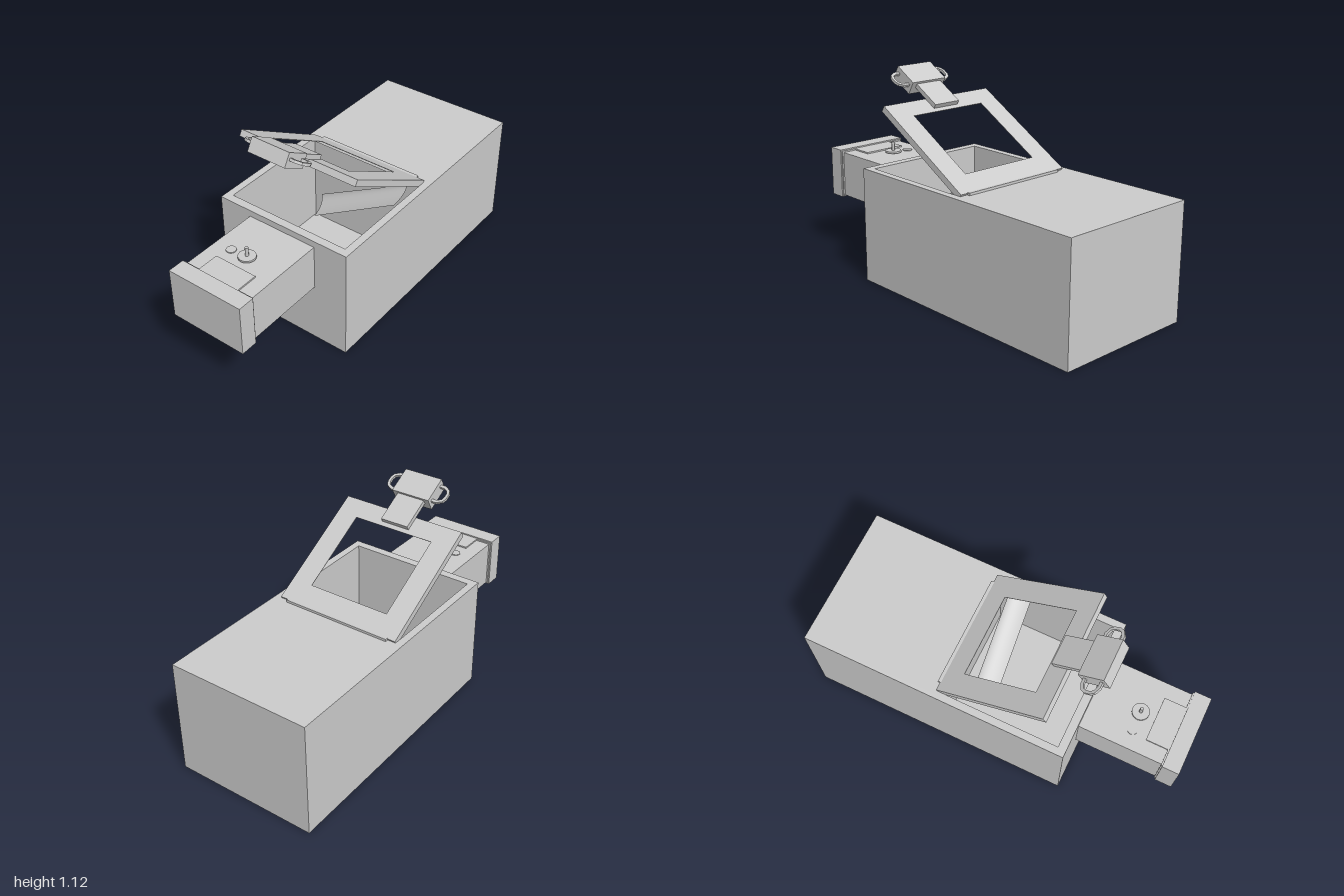
import * as THREE from 'three';

const material = new THREE.MeshStandardMaterial({ color: 0xcccccc });
const sheetMaterial = new THREE.MeshStandardMaterial({ color: 0xcccccc, side: THREE.DoubleSide });

function add(parent, name, geometry, mat = material) {
  const mesh = new THREE.Mesh(geometry, mat);
  mesh.name = name;
  parent.add(mesh);
  return mesh;
}

// Box given by its limits on each axis
function block(parent, name, [x0, x1], [y0, y1], [z0, z1]) {
  const mesh = add(parent, name, new THREE.BoxGeometry(x1 - x0, y1 - y0, z1 - z0));
  mesh.position.set((x0 + x1) / 2, (y0 + y1) / 2, (z0 + z1) / 2);
  return mesh;
}

function disc(parent, name, radius, y0, y1, x, z, sides) {
  const mesh = add(parent, name, new THREE.CylinderGeometry(radius, radius, y1 - y0, sides));
  mesh.position.set(x, (y0 + y1) / 2, z);
  return mesh;
}

const polygon = (pairs) => pairs.map(([x, z]) => new THREE.Vector2(x, z));
const rect = (w, z0, z1) => polygon([[-w, z0], [w, z0], [w, z1], [-w, z1]]);

// Flat slab with a hole, outlined in x and z, from y0 up to y1
function holedSlab(parent, name, outline, hole, y0, y1) {
  const shape = new THREE.Shape(outline);
  shape.holes.push(new THREE.Path(hole));
  const geometry = new THREE.ExtrudeGeometry(shape, { depth: y1 - y0, bevelEnabled: false });
  geometry.rotateX(Math.PI / 2);
  geometry.translate(0, y1, 0);
  return add(parent, name, geometry);
}

// Curved chute: a quarter-round section swept down from right to left
function chuteGeometry() {
  const across = 12, along = 8;
  const geometry = new THREE.PlaneGeometry(1, 1, along, across);
  const p = geometry.attributes.position;
  for (let i = 0; i < p.count; i++) {
    const s = p.getX(i) + 0.5;
    const t = 0.5 - p.getY(i);
    const a = t * Math.PI / 2;
    p.setXYZ(i,
      -0.22 + 0.53 * s + 0.04 * t * (1 - s),
      0.33 + 0.28 * s + 0.06 * (1 - Math.sin(a)) - 0.03,
      -0.14 - 0.025 * s + 0.115 * (1 - Math.cos(a)));
  }
  geometry.computeVertexNormals();
  return geometry;
}

export function createModel() {
  const model = new THREE.Group();
  model.name = 'boxWithDrawerAndLid';

  // Main body with an open compartment
  const body = new THREE.Group();
  body.name = 'body';
  model.add(body);
  block(body, 'base', [-0.39, 0.39], [0, 0.1], [-1, 0.455]);
  holedSlab(body, 'walls', rect(0.39, -1, 0.455), rect(0.35, -0.25, 0.41), 0.1, 0.62);
  add(body, 'chute', chuteGeometry(), sheetMaterial);
  block(body, 'hingeStrip', [-0.305, 0.305], [0.615, 0.633], [-0.275, -0.25]);

  // Front drawer with its controls
  const drawer = new THREE.Group();
  drawer.name = 'drawer';
  model.add(drawer);
  block(drawer, 'drawerNeck', [-0.2, 0.2], [0.335, 0.585], [0.45, 0.91]);
  block(drawer, 'drawerFrontRim', [-0.208, 0.208], [0.33, 0.593], [0.902, 0.912]);
  block(drawer, 'drawerFront', [-0.215, 0.215], [0.325, 0.6], [0.91, 1]);
  block(drawer, 'raisedPlate', [-0.12, 0.12], [0.58, 0.593], [0.785, 0.905]);
  disc(drawer, 'button', 0.026, 0.58, 0.59, -0.1, 0.705, 24);
  disc(drawer, 'knobNeck', 0.02, 0.58, 0.595, 0, 0.705, 16);
  disc(drawer, 'knobDisc', 0.045, 0.592, 0.602, 0, 0.705, 16);
  disc(drawer, 'knobStem', 0.009, 0.6, 0.65, 0, 0.705, 8);

  // Raised lid: a shallow pan open underneath, with a window
  const lid = new THREE.Group();
  lid.name = 'lid';
  lid.position.set(0, 0.6, -0.245);
  lid.rotation.x = -Math.PI / 6;
  model.add(lid);
  holedSlab(lid, 'lidFrame', rect(0.35, 0, 0.67), rect(0.23, 0.118, 0.565), 0.032, 0.035);
  for (const side of [-1, 1]) {
    const rim = block(lid, 'lidSideRim', [-0.002, 0.002], [0, 0.034], [0, 0.67]);
    rim.position.x = side * 0.348;
  }
  block(lid, 'lidFrontRim', [-0.35, 0.35], [0, 0.035], [0.666, 0.67]);
  block(lid, 'lidBackRim', [-0.35, 0.35], [0, 0.035], [0, 0.004]);

  // Latch at the end of the lid
  block(lid, 'latchPlate', [-0.08, 0.08], [0.035, 0.06], [0.59, 0.77]);
  block(lid, 'latchBlock', [-0.11, 0.11], [-0.002, 0.073], [0.763, 0.907]);

  // Looped grips on both sides of the latch
  const outer = [[0.105, -0.055], [0.14, -0.055], [0.17, -0.038], [0.18, -0.016],
    [0.18, 0.016], [0.17, 0.038], [0.14, 0.055], [0.105, 0.055]];
  const inner = [[0.107, -0.039], [0.136, -0.039], [0.158, -0.028], [0.165, -0.012],
    [0.165, 0.012], [0.158, 0.028], [0.136, 0.039], [0.107, 0.039]];
  for (const side of [-1, 1]) {
    const grip = holedSlab(lid, side > 0 ? 'leftGrip' : 'rightGrip',
      polygon(outer), polygon(inner), 0.034, 0.048);
    grip.rotation.y = side > 0 ? 0 : Math.PI;
    grip.position.z = 0.835;
    if (side < 0) {
      grip.position.y = 0;
    }
  }

  return model;
}
